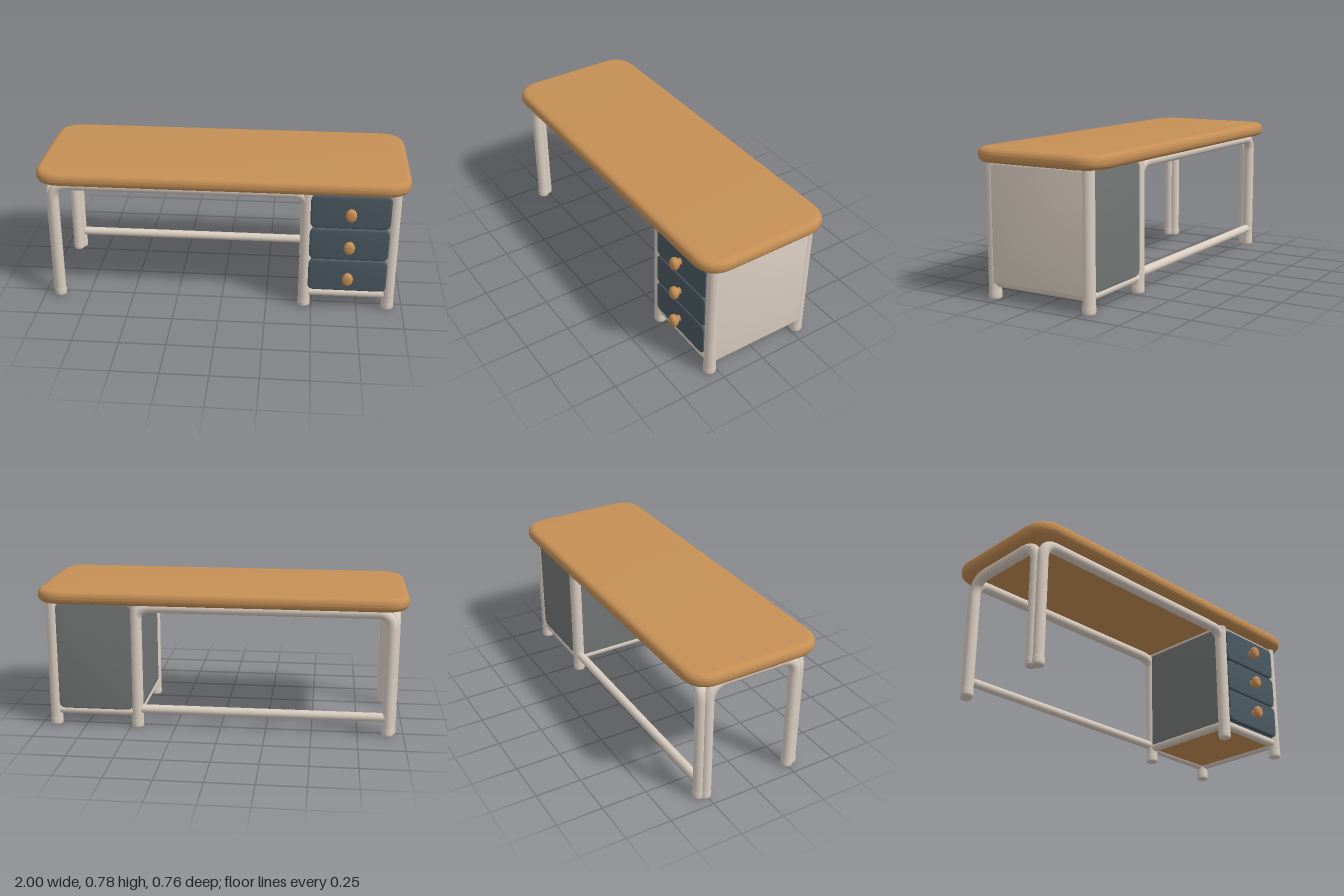
import * as THREE from 'three';
import { mergeVertices, toCreasedNormals } from 'three/addons/utils/BufferGeometryUtils.js';

const mat = (name, color) => Object.assign(new THREE.MeshStandardMaterial({ color }), { name });

// Rounded rectangle centred on the origin
function roundedRect(w, h, r) {
  const x = w / 2, y = h / 2, s = new THREE.Shape();
  s.moveTo(-x + r, -y);
  s.lineTo(x - r, -y).quadraticCurveTo(x, -y, x, -y + r);
  s.lineTo(x, y - r).quadraticCurveTo(x, y, x - r, y);
  s.lineTo(-x + r, y).quadraticCurveTo(-x, y, -x, y - r);
  s.lineTo(-x, -y + r).quadraticCurveTo(-x, -y, -x + r, -y);
  return s;
}

// Slab in the XY plane with softly rounded edges, centred on the origin
function softSlab(w, h, depth, corner, bevel, segments = 4) {
  const g = new THREE.ExtrudeGeometry(roundedRect(w - 2 * bevel, h - 2 * bevel, corner), {
    depth: depth - 2 * bevel, bevelSize: bevel, bevelThickness: bevel,
    bevelSegments: segments, curveSegments: 10,
  });
  g.deleteAttribute('uv');
  g.deleteAttribute('normal');
  g.translate(0, 0, -depth / 2 + bevel);
  return toCreasedNormals(mergeVertices(g, 1e-5), 0.5);
}

export function createModel() {
  const desk = new THREE.Group();
  desk.name = 'desk';
  const wood = mat('warm wood', 0xc58f55);
  const cream = mat('cream paint', 0xd9cdc1);
  const slate = mat('slate drawers', 0x4b5962);
  const grey = mat('grey panels', 0x727675);

  const add = (name, geometry, material, x = 0, y = 0, z = 0) => {
    const m = new THREE.Mesh(geometry, material);
    m.name = name;
    m.position.set(x, y, z);
    desk.add(m);
    return m;
  };

  // Straight rod between two points
  const rod = (name, a, b, r) => {
    const from = new THREE.Vector3(...a), to = new THREE.Vector3(...b);
    const m = add(name, new THREE.CylinderGeometry(r, r, from.distanceTo(to), 20), cream);
    m.position.copy(from).lerp(to, 0.5);
    m.quaternion.setFromUnitVectors(new THREE.Vector3(0, 1, 0), to.sub(from).normalize());
  };

  // Bent tube: up one leg, across the top, down the other leg
  const arch = (name, a, b, top, bend, r) => {
    const A = new THREE.Vector3(a[0], 0.03, a[1]), B = new THREE.Vector3(b[0], 0.03, b[1]);
    const along = B.clone().sub(A).normalize().multiplyScalar(bend);
    const A1 = A.clone().setY(top), B1 = B.clone().setY(top);
    const A0 = A.clone().setY(top - bend), B0 = B.clone().setY(top - bend);
    const A2 = A1.clone().add(along), B2 = B1.clone().sub(along);
    const path = new THREE.CurvePath();
    path.add(new THREE.LineCurve3(A, A0));
    path.add(new THREE.QuadraticBezierCurve3(A0, A1, A2));
    path.add(new THREE.LineCurve3(A2, B2));
    path.add(new THREE.QuadraticBezierCurve3(B2, B1, B0));
    path.add(new THREE.LineCurve3(B0, B));
    add(name, new THREE.TubeGeometry(path, 140, r, 18, false), cream);
  };

  // Foot with a rounded sole
  const foot = (x, z, r) => {
    const pts = [[0, 0], [r * 0.75, 0], [r * 0.94, 0.004], [r, 0.012], [r, 0.042], [r * 0.9, 0.048]];
    add('foot', new THREE.LatheGeometry(pts.map(p => new THREE.Vector2(...p)), 20), cream, x, 0, z);
  };

  // Table top
  const top = softSlab(2, 0.755, 0.075, 0.11, 0.033, 8);
  top.rotateX(-Math.PI / 2);
  add('tableTop', top, wood, 0, 0.7425, 0);

  const L = 0.46, R = 0.92, Z = 0.286;

  // Leg frames of the open side, paired tubes at the left corners
  for (const s of [1, -1]) {
    arch(s > 0 ? 'frontFrame' : 'backFrame', [-0.912, s * Z], [L, s * Z], 0.684, 0.085, 0.03);
    foot(-0.912, s * Z, 0.032);
    foot(-0.927, s * 0.255, 0.031);
  }
  arch('sideFrame', [-0.927, 0.255], [-0.927, -0.255], 0.684, 0.1, 0.03);
  rod('stretcher', [-0.912, 0.105, -Z], [L, 0.105, -Z], 0.024);

  // Posts and rails of the drawer cabinet
  for (const s of [1, -1]) {
    for (const x of [L, R]) {
      rod('cabinetPost', [x, 0.03, s * Z], [x, 0.715, s * Z], 0.033);
      foot(x, s * Z, 0.034);
    }
    rod('cabinetBottomRail', [L, 0.088, s * Z], [R, 0.088, s * Z], 0.024);
    rod('cabinetTopRail', [L, 0.705, s * Z], [R, 0.705, s * Z], 0.018);
  }
  for (const x of [L, R]) {
    rod('cabinetSideRail', [x, 0.088, Z], [x, 0.088, -Z], 0.024);
    rod('cabinetUpperSideRail', [x, 0.7, Z], [x, 0.7, -Z], 0.022);
  }

  // Cabinet panels
  const outer = softSlab(0.6, 0.62, 0.03, 0.02, 0.008);
  outer.rotateY(Math.PI / 2);
  add('outerSidePanel', outer, cream, 0.935, 0.395, 0);
  const inner = softSlab(0.55, 0.61, 0.02, 0.03, 0.006);
  inner.rotateY(Math.PI / 2);
  add('innerSidePanel', inner, grey, 0.45, 0.4, 0);
  add('backPanel', softSlab(0.425, 0.6, 0.02, 0.04, 0.006), grey, 0.69, 0.4, -0.298);
  add('cabinetFloor', new THREE.BoxGeometry(0.46, 0.02, 0.57), wood, 0.69, 0.09, 0);
  add('drawerBacking', new THREE.BoxGeometry(0.44, 0.6, 0.02), slate, 0.69, 0.4, 0.285);

  // Drawers with oval knobs
  const knobProfile = [[0.022, 0], [0.018, 0.008], [0.019, 0.014], [0.032, 0.022], [0.037, 0.033],
    [0.036, 0.043], [0.03, 0.052], [0.018, 0.057], [0, 0.058]].map(p => new THREE.Vector2(...p));
  const knob = new THREE.LatheGeometry(new THREE.SplineCurve(knobProfile).getPoints(24), 28);
  knob.rotateX(Math.PI / 2);
  knob.scale(0.8, 1, 1);
  for (const [y, h, knobY] of [[0.21, 0.188, 0.208], [0.4, 0.184, 0.4], [0.592, 0.19, 0.593]]) {
    add('drawerFront', softSlab(0.425, h, 0.03, 0.025, 0.009), slate, 0.69, y, 0.307);
    add('drawerKnob', knob, wood, 0.69, knobY, 0.32);
  }
  return desk;
}
